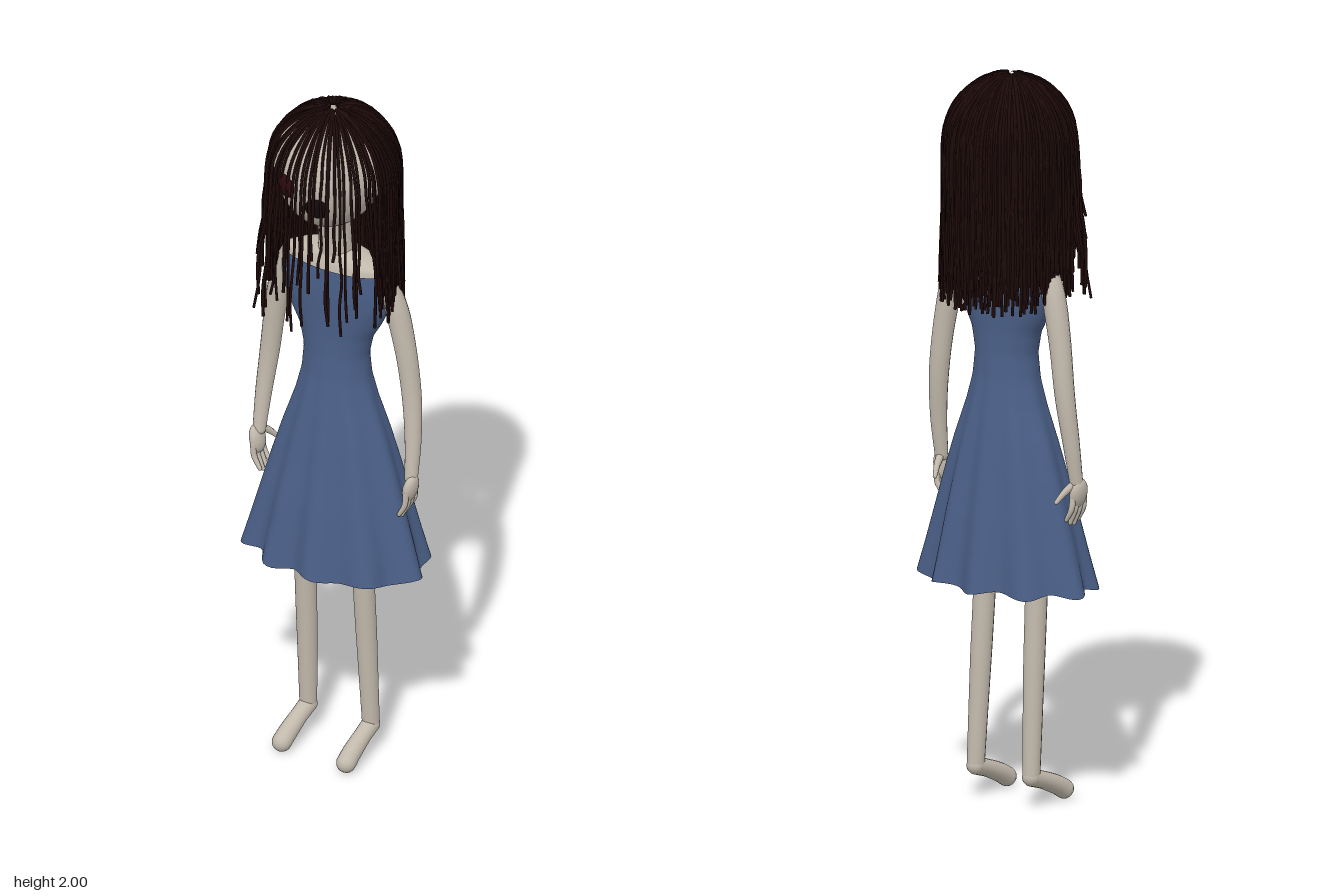
import * as THREE from 'three';
import { mergeGeometries, mergeVertices } from 'three/addons/utils/BufferGeometryUtils.js';

const V = (x, y, z) => new THREE.Vector3(x, y, z);

// Piecewise linear lookup in rows sorted by ascending first value
function sample(rows, y, k) {
  let i = 0;
  while (i < rows.length - 2 && y > rows[i + 1][0]) i++;
  const [a, b] = [rows[i], rows[i + 1]];
  const t = THREE.MathUtils.clamp((y - a[0]) / (b[0] - a[0]), 0, 1);
  return a[k] + (b[k] - a[k]) * t;
}

// Tapered tube with rounded ends
function limb(points, radii, sides = 16, segs = 28) {
  const curve = new THREE.CatmullRomCurve3(points);
  const geo = new THREE.TubeGeometry(curve, segs, 1, sides);
  const p = geo.attributes.position, n = geo.attributes.normal;
  for (let i = 0; i < p.count; i++) {
    const t = Math.floor(i / (sides + 1)) / segs;
    const f = t * (radii.length - 1), k = Math.min(Math.floor(f), radii.length - 2);
    const r = THREE.MathUtils.lerp(radii[k], radii[k + 1], f - k);
    const c = curve.getPointAt(t);
    p.setXYZ(i, c.x + n.getX(i) * r, c.y + n.getY(i) * r, c.z + n.getZ(i) * r);
  }
  const ends = [0, points.length - 1].map((i) => {
    const q = points[i];
    return new THREE.SphereGeometry(radii[i ? radii.length - 1 : 0], sides, 10).translate(q.x, q.y, q.z);
  });
  return mergeGeometries([geo, ...ends]);
}

// Elliptical loft; rows are [y, halfWidth, halfDepth, centreZ, foldDepth]
function loft(rows, steps, around) {
  const y0 = rows[0][0], y1 = rows[rows.length - 1][0];
  const profile = [];
  for (let i = 0; i <= steps; i++) profile.push(new THREE.Vector2(1, y0 + (y1 - y0) * i / steps));
  let geo = new THREE.LatheGeometry(profile, around);
  const p = geo.attributes.position;
  for (let i = 0; i < p.count; i++) {
    const y = p.getY(i), a = Math.atan2(p.getX(i), p.getZ(i));
    const fold = sample(rows, y, 4);
    const wave = Math.sin(a * 10 + 0.9 * Math.sin(a * 2 + 0.5)) * fold;
    const w = sample(rows, y, 1) + wave, d = sample(rows, y, 2) + wave;
    p.setXYZ(i, Math.sin(a) * w, y + Math.cos(a * 9) * fold * 0.35, sample(rows, y, 3) + Math.cos(a) * d);
  }
  geo.deleteAttribute('uv');
  geo.deleteAttribute('normal');
  geo = mergeVertices(geo, 1e-5);
  geo.computeVertexNormals();
  return geo;
}

export function createModel() {
  const model = new THREE.Group();
  model.name = 'girl';
  const material = (name, color, extra = {}) => {
    const m = new THREE.MeshStandardMaterial({ color, ...extra });
    m.name = name;
    return m;
  };
  const skin = material('pale skin', 0xc2b9ac);
  const cloth = material('blue cloth', 0x4a5f87, { side: THREE.DoubleSide });
  const hairMat = material('dark hair', 0x1e0a0a);
  const eyeMat = material('dark eye', 0x140c0c);
  const redMat = material('dark red eye', 0x2c0a0c);
  const add = (name, geo, mat, parent = model) => {
    const mesh = new THREE.Mesh(geo, mat);
    mesh.name = name;
    parent.add(mesh);
    return mesh;
  };

  // Dress: bust, narrow waist and a flared, folded skirt
  add('dress', loft([
    [0.61, 0.264, 0.168, -0.026, 0.016],
    [0.7, 0.24, 0.155, -0.027, 0.011],
    [0.8, 0.212, 0.141, -0.028, 0.008],
    [0.9, 0.184, 0.123, -0.03, 0.006],
    [1.0, 0.153, 0.106, -0.031, 0.004],
    [1.1, 0.117, 0.088, -0.031, 0.002],
    [1.17, 0.099, 0.075, -0.031, 0.001],
    [1.24, 0.094, 0.069, -0.031, 0],
    [1.3, 0.108, 0.067, -0.031, 0],
    [1.35, 0.137, 0.068, -0.031, 0],
    [1.4, 0.16, 0.07, -0.031, 0],
    [1.45, 0.168, 0.071, -0.031, 0],
    [1.515, 0.164, 0.069, -0.031, 0],
  ], 64, 120), cloth);

  // Upper chest and shoulders closing the neckline
  add('chest', loft([
    [1.4, 0.15, 0.062, -0.031, 0],
    [1.5, 0.157, 0.063, -0.031, 0],
    [1.525, 0.148, 0.058, -0.031, 0],
    [1.545, 0.11, 0.052, -0.031, 0],
    [1.56, 0.045, 0.045, -0.031, 0],
  ], 32, 40), skin);
  add('neck', limb([V(0, 1.5, -0.03), V(0, 1.6, -0.025), V(0, 1.72, -0.01)], [0.052, 0.046, 0.055]), skin);

  // Head with eyes pressed into the face
  const head = new THREE.SphereGeometry(1, 40, 28);
  const hp = head.attributes.position;
  for (let i = 0; i < hp.count; i++) {
    const y = hp.getY(i), jaw = y < 0 ? 1 + 0.1 * y : 1;
    hp.setXYZ(i, hp.getX(i) * 0.15 * jaw, 1.825 + y * (y < 0 ? 0.175 : 0.16), hp.getZ(i) * 0.153);
  }
  head.computeVertexNormals();
  add('head', head, skin);
  const eye = (name, x, y, mat) => {
    const e = add(name, new THREE.SphereGeometry(0.034, 20, 14), mat);
    e.scale.z = 0.35;
    e.position.set(x, y, 0.153 * Math.sqrt(1 - (x / 0.15) ** 2 - ((y - 1.825) / 0.17) ** 2));
    e.rotation.set((1.825 - y) * 5, x * 7, 0);
  };
  eye('rightEye', -0.052, 1.815, redMat);
  eye('leftEye', 0.043, 1.77, eyeMat);

  // Arms, hands and legs, mirrored left and right
  for (const s of [1, -1]) {
    const side = s > 0 ? 'left' : 'right';
    const M = (x, y, z) => V(s * x, y, z);
    const arm = new THREE.Group();
    arm.name = side + 'Arm';
    model.add(arm);
    add('arm', limb([M(0.14, 1.495, -0.035), M(0.172, 1.43, -0.042), M(0.202, 1.3, -0.048),
      M(0.222, 1.15, -0.05), M(0.234, 1.02, -0.038), M(0.238, 0.91, -0.022)],
    [0.03, 0.032, 0.029, 0.027, 0.023, 0.018]), skin, arm);
    const palm = add('palm', new THREE.SphereGeometry(1, 18, 14), skin, arm);
    palm.scale.set(0.018, 0.042, 0.03);
    palm.position.set(s * 0.24, 0.883, -0.016);
    palm.rotation.z = -s * 0.2;
    for (let i = 0; i < 4; i++) {
      const z = 0.006 - i * 0.014, drop = [0.008, 0, 0.003, 0.014][i];
      add('finger', limb([M(0.239, 0.875, z), M(0.236, 0.84, z * 1.15), M(0.218, 0.797 + drop, z * 1.1)],
        [0.009, 0.008, 0.006], 8, 10), skin, arm);
    }
    add('thumb', limb([M(0.235, 0.91, -0.03), M(0.225, 0.89, -0.055), M(0.214, 0.865, -0.076)],
      [0.011, 0.009, 0.006], 8, 10), skin, arm);

    const leg = new THREE.Group();
    leg.name = side + 'Leg';
    model.add(leg);
    add('shin', limb([M(0.085, 1.0, 0), M(0.09, 0.65, -0.012), M(0.094, 0.35, -0.03), M(0.098, 0.09, -0.044)],
      [0.036, 0.031, 0.029, 0.024]), skin, leg);
    add('foot', limb([M(0.098, 0.086, -0.044), M(0.099, 0.067, 0.01), M(0.1, 0.045, 0.06), M(0.101, 0.031, 0.084)],
      [0.025, 0.024, 0.026, 0.027]), skin, leg);
  }

  // Hair: many thin strands that follow the skull and then hang
  let seed = 7;
  const rnd = () => (seed = (seed * 16807) % 2147483647) / 2147483647;
  const strand = (angle, radius, startPhi, endY, drift, wiggle) => {
    const pts = [];
    const c = Math.cos(angle), sn = Math.sin(angle);
    const put = (r, y, j) => {
      const squash = c > 0 ? 0.975 : 1.03;
      pts.push(V(sn * r + (rnd() - 0.5) * j, y, -0.012 + c * r * squash + (rnd() - 0.5) * j));
    };
    for (let i = 0; i <= 5; i++) {
      const phi = startPhi + (Math.PI / 2 - startPhi) * i / 5;
      put(radius * Math.sin(phi), 1.81 + (radius + 0.007) * Math.cos(phi), 0.003);
    }
    for (let i = 1; i <= 5; i++) {
      const t = i / 5;
      put(radius + drift * t, 1.81 + (endY - 1.81) * t, wiggle * t);
    }
    return new THREE.TubeGeometry(new THREE.CatmullRomCurve3(pts), 24, 0.0038 + rnd() * 0.001, 5);
  };
  const back = [], fringe = [];
  const dense = 270, open = 1.3;
  for (let i = 0; i < dense; i++) {
    const a = open + (2 * Math.PI - 2 * open) * (i + rnd()) / dense;
    const sideways = Math.max(0, Math.cos(a) + 0.3);
    back.push(strand(a, 0.173 + rnd() * 0.007, 0.06 + rnd() * 0.2,
      1.37 + rnd() * 0.1 + sideways * rnd() * 0.15, 0.002 + rnd() * 0.006, 0.008));
  }
  const loose = 34;
  for (let i = 0; i < loose; i++) {
    const a = -open + 2 * open * (i + rnd()) / loose;
    fringe.push(strand(a, 0.174 + rnd() * 0.004, 0.04 + rnd() * 0.2,
      1.38 + rnd() * 0.27, 0.01 + rnd() * 0.025, 0.014));
  }
  add('backHair', mergeGeometries(back), hairMat);
  add('fringe', mergeGeometries(fringe), hairMat);

  return model;
}
